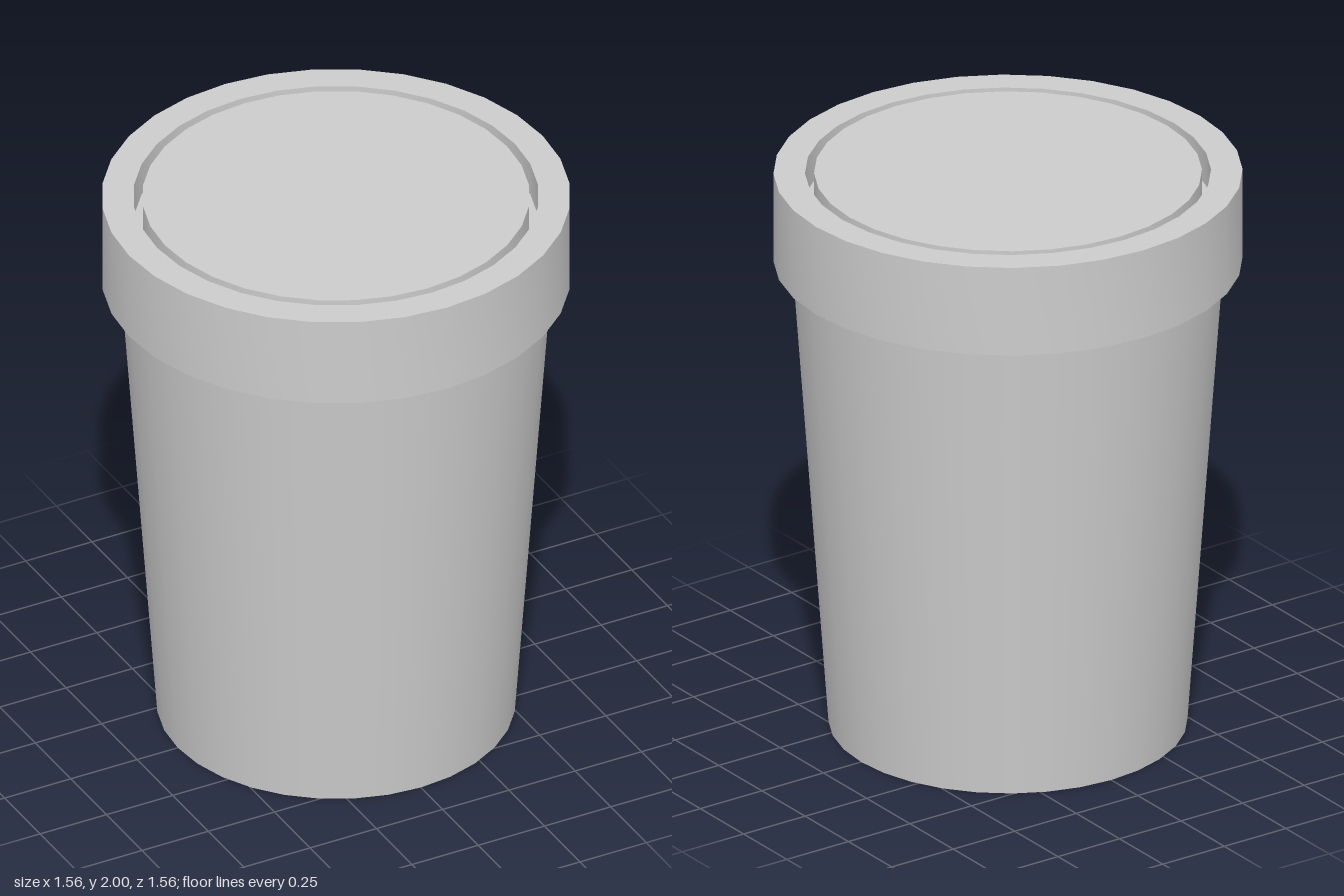
import * as THREE from 'three';
import { toCreasedNormals } from 'three/addons/utils/BufferGeometryUtils.js';

const SIDES = 32;
const CUP_HEIGHT = 1.68;

export function createModel() {
  const model = new THREE.Group();
  model.name = 'liddedCup';
  const material = new THREE.MeshStandardMaterial({ color: 0xcccccc });

  // Tapered cup with a closed base
  const cup = new THREE.Mesh(new THREE.CylinderGeometry(0.718, 0.597, CUP_HEIGHT, SIDES), material);
  cup.name = 'cup';
  cup.position.y = CUP_HEIGHT / 2;
  model.add(cup);

  // Lid: overhanging collar, flat rim, narrow groove and flush centre disc
  const profile = [
    [0.7, CUP_HEIGHT], [0.78, CUP_HEIGHT], [0.78, 2],
    [0.675, 2], [0.675, 1.88], [0.645, 1.88], [0.645, 2], [0, 2],
  ].map(([r, y]) => new THREE.Vector2(r, y));
  const lid = new THREE.Mesh(toCreasedNormals(new THREE.LatheGeometry(profile, SIDES), 0.6), material);
  lid.name = 'lid';
  model.add(lid);

  return model;
}
